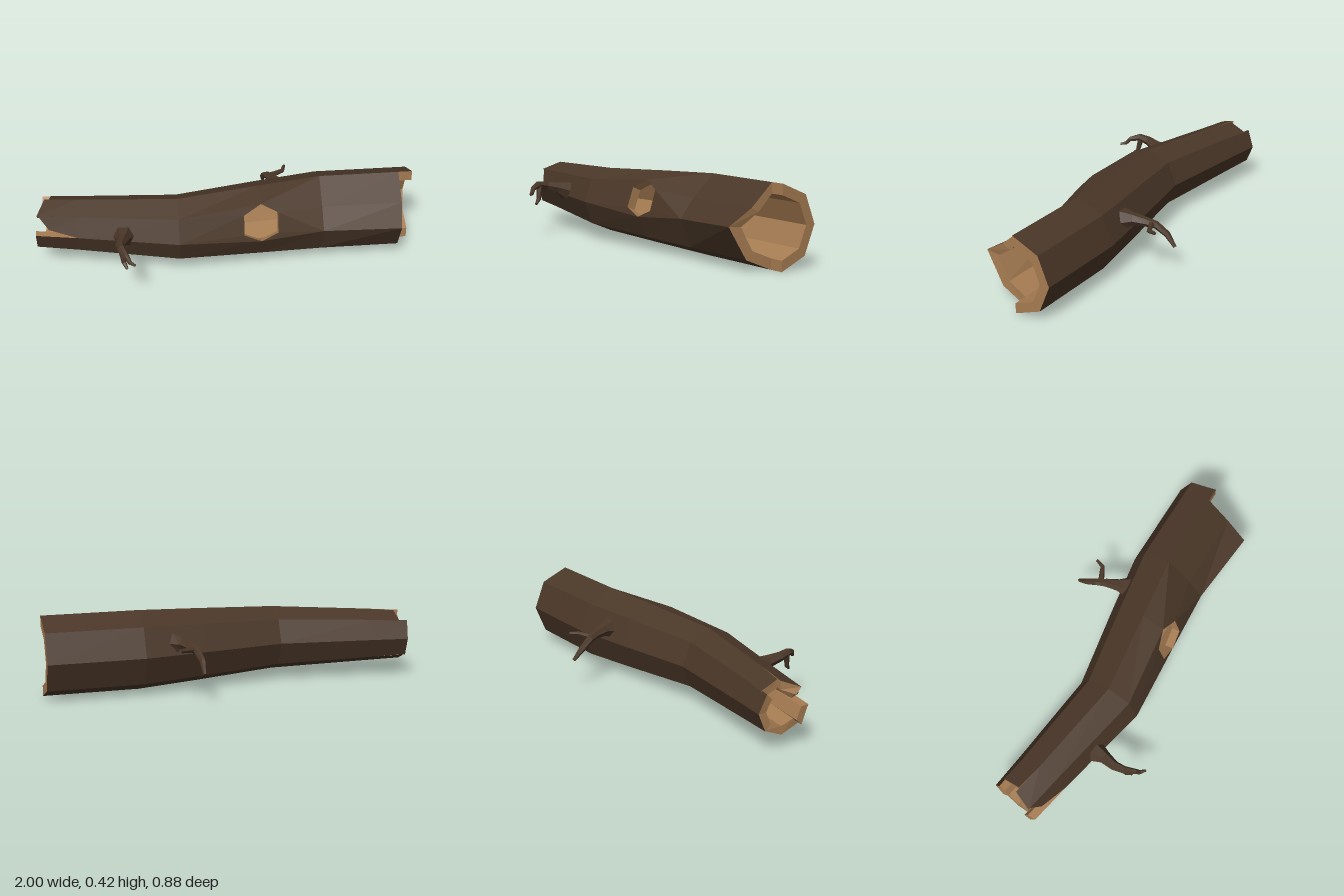
import * as THREE from 'three';

const V = (x, y, z) => new THREE.Vector3(x, y, z);
const BARK = 0x4a3728, WOOD = 0xa67c52;

// Adds a convex polygon as a fan of triangles
function face(list, ...p) {
  for (let i = 1; i < p.length - 1; i++) {
    for (const q of [p[0], p[i], p[i + 1]]) list.push(q.x, q.y, q.z);
  }
}

function mesh(list, color, name) {
  const g = new THREE.BufferGeometry();
  g.setAttribute('position', new THREE.Float32BufferAttribute(list, 3));
  g.computeVertexNormals();
  const m = new THREE.Mesh(g, new THREE.MeshStandardMaterial({ color, flatShading: true }));
  m.name = name;
  return m;
}

// Log cross-sections: x, centre z, outer radius, inner radius
const SECTIONS = [
  [-0.97, -0.05, 0.135, 0.09],
  [-0.78, -0.017, 0.145, 0.098],
  [-0.26, 0.07, 0.172, 0.12],
  [0.17, 0.018, 0.195, 0.14],
  [0.5, -0.02, 0.21, 0.155],
  [1, -0.02, 0.21, 0.155],
];
// Broken ends: x of the two corners of each of the eight staves
const STARTS = [[-0.93, -0.98], [-0.99, -0.95], [-0.925, -0.92], [-0.965, -0.955],
  [-0.955, -0.96], [-0.95, -0.965], [-0.965, -0.975], [-1, -1]];
const ENDS = [[0.905, 0.925], [0.925, 0.925], [1, 1], [1, 1],
  [1, 1], [1, 1], [0.925, 0.915], [0.915, 0.905]];

// Hollow in the front, anticlockwise from the bottom corner
const HOLE = [V(0.17, 0.18, 0.207), V(0.26, 0.22, 0.195), V(0.26, 0.325, 0.162),
  V(0.17, 0.368, 0.14), V(0.08, 0.32, 0.168), V(0.08, 0.22, 0.205)];
const HOLE_IN = HOLE.map((p) => p.clone().add(V(0, -0.019, -0.046)));

// Corner of stave k at section i; side 0 is its lower angle, 1 its upper
function corner(i, k, side, inner) {
  const edge = (k + side) % 8;
  const [sx, zc, ro, ri] = SECTIONS[i];
  const x = i === 0 ? STARTS[k][side] : i === 5 ? ENDS[k][side] : sx;
  if (i === 3 && edge < 2) return (inner ? HOLE_IN : HOLE)[edge * 3].clone();
  // flattened front shoulder towards the wide end
  if (i >= 4 && edge === 1) return inner ? V(x, 0.285, 0.065) : V(x, 0.308, 0.108);
  if (i === 5 && edge === 0) return inner ? V(x, 0.22, 0.155) : V(x, 0.228, 0.23);
  let a = edge * Math.PI / 4;
  if (i === 0 && k === 0 && side === 0) a = 0.22; // split in the front
  const r = inner ? ri : ro;
  return V(x, 0.21 + r * Math.sin(a), zc + r * Math.cos(a));
}

// Panel a-b-c-d pierced by the hollow; m and n are its middle corners
function piercedPanel(list, a, b, c, d, h, flip) {
  const [bot, br, tr, top, tl, bl] = h;
  const polys = [[a, bot, bl], [a, bl, tl, d], [d, tl, top],
    [bot, b, br], [b, c, tr, br], [c, top, tr]];
  for (const p of polys) face(list, ...(flip ? p.reverse() : p));
}

function buildLog() {
  const bark = [], wood = [];
  for (let k = 0; k < 8; k++) {
    for (let i = 0; i < 5; i++) {
      const [a, b, c, d] = [[i, 0], [i + 1, 0], [i + 1, 1], [i, 1]].map(([s, e]) => corner(s, k, e, false));
      const [a2, b2, c2, d2] = [[i, 0], [i + 1, 0], [i + 1, 1], [i, 1]].map(([s, e]) => corner(s, k, e, true));
      if (!(k === 0 && (i === 2 || i === 3))) {
        face(bark, a, b, c, d);
        face(wood, d2, c2, b2, a2);
      }
      // exposed sides of the staves near the broken ends
      if (i === 0 || i === 4) {
        face(wood, a2, b2, b, a);
        face(wood, d, c, c2, d2);
      }
      if (i === 0) face(wood, a, d, d2, a2);
      if (i === 4) face(wood, b, b2, c2, c);
    }
  }
  // front panel around the hollow and the hollow's rim
  for (const inner of [false, true]) {
    piercedPanel(inner ? wood : bark, corner(2, 0, 0, inner), corner(4, 0, 0, inner),
      corner(4, 0, 1, inner), corner(2, 0, 1, inner), inner ? HOLE_IN : HOLE, inner);
  }
  HOLE.forEach((p, i) => {
    const j = (i + 1) % 6;
    face(wood, p, HOLE[j], HOLE_IN[j], HOLE_IN[i]);
  });
  const g = new THREE.Group();
  g.name = 'hollowLog';
  g.add(mesh(bark, BARK, 'bark'), mesh(wood, WOOD, 'innerWood'));
  return g;
}

// Tapered six-sided twig through rows of [x, y, z, radius]
function twig(rows, name) {
  const list = [], n = 6;
  const pts = rows.map((r) => V(r[0], r[1], r[2]));
  const rings = pts.map((p, i) => {
    const t = pts[Math.min(i + 1, pts.length - 1)].clone().sub(pts[Math.max(i - 1, 0)]).normalize();
    const u = V(1, 0, 0).addScaledVector(t, -t.x).normalize();
    const v = t.clone().cross(u);
    return Array.from({ length: n }, (_, j) => {
      const a = j / n * Math.PI * 2;
      return p.clone().addScaledVector(u, rows[i][3] * Math.cos(a)).addScaledVector(v, rows[i][3] * Math.sin(a));
    });
  });
  for (let i = 0; i < rings.length - 1; i++) {
    for (let j = 0; j < n; j++) {
      const k = (j + 1) % n;
      face(list, rings[i][j], rings[i][k], rings[i + 1][k], rings[i + 1][j]);
    }
  }
  face(list, ...rings[rings.length - 1]);
  return mesh(list, BARK, name);
}

export function createModel() {
  const model = new THREE.Group();
  model.name = 'fallenLog';
  model.add(buildLog());

  const front = new THREE.Group();
  front.name = 'frontBranch';
  front.add(
    twig([[-0.545, 0.235, 0.17, 0.055], [-0.55, 0.255, 0.225, 0.033], [-0.565, 0.27, 0.29, 0.025],
      [-0.56, 0.28, 0.345, 0.02], [-0.535, 0.265, 0.395, 0.014], [-0.52, 0.24, 0.415, 0.011],
      [-0.495, 0.238, 0.437, 0.006]], 'mainTwig'),
    twig([[-0.562, 0.28, 0.335, 0.018], [-0.555, 0.235, 0.345, 0.014], [-0.55, 0.2, 0.352, 0.012],
      [-0.535, 0.177, 0.378, 0.007]], 'sideTwig'));

  const back = new THREE.Group();
  back.name = 'backBranch';
  back.add(
    twig([[0.32, 0.265, -0.16, 0.06], [0.3, 0.272, -0.215, 0.034], [0.28, 0.265, -0.28, 0.024],
      [0.262, 0.255, -0.325, 0.02], [0.25, 0.215, -0.385, 0.017], [0.255, 0.16, -0.437, 0.009]], 'mainTwig'),
    twig([[0.27, 0.26, -0.305, 0.017], [0.31, 0.262, -0.325, 0.014], [0.352, 0.265, -0.345, 0.012],
      [0.367, 0.27, -0.39, 0.008]], 'sideTwig'));

  model.add(front, back);
  return model;
}
